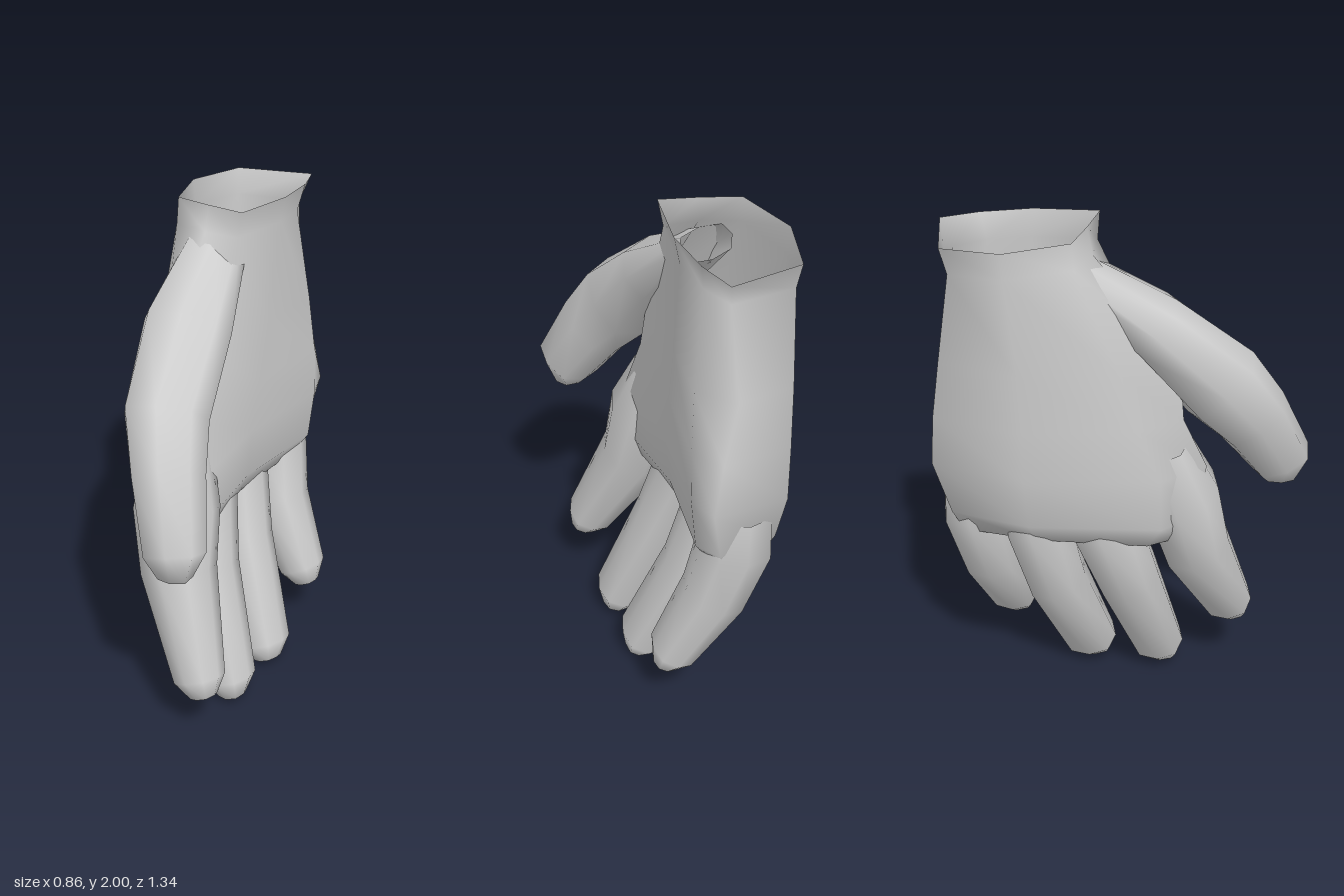
import * as THREE from 'three';

const skin = new THREE.MeshStandardMaterial({ color: 0xcccccc, side: THREE.DoubleSide });
skin.name = 'plainGrey';

// Skin a list of rings (arrays of Vector3) and close the last one with a fan
function loft(name, rings) {
  const n = rings[0].length;
  const pos = [], idx = [];
  rings.forEach(r => r.forEach(p => pos.push(p.x, p.y, p.z)));
  for (let i = 0; i < rings.length - 1; i++) {
    for (let j = 0; j < n; j++) {
      const a = i * n + j, b = i * n + (j + 1) % n;
      idx.push(a, b, a + n, b, b + n, a + n);
    }
  }
  const last = rings[rings.length - 1];
  const mid = last.reduce((s, p) => s.add(p), new THREE.Vector3()).divideScalar(n);
  const base = (rings.length - 1) * n, c = rings.length * n;
  pos.push(mid.x, mid.y, mid.z);
  for (let j = 0; j < n; j++) idx.push(base + j, base + (j + 1) % n, c);
  const geo = new THREE.BufferGeometry();
  geo.setAttribute('position', new THREE.Float32BufferAttribute(pos, 3));
  geo.setIndex(idx);
  geo.computeVertexNormals();
  const mesh = new THREE.Mesh(geo, skin);
  mesh.name = name;
  return mesh;
}

// Digit along a path of [x, y, z, halfWidth, halfThickness]
function digit(name, path, across) {
  const at = i => new THREE.Vector3(...path[i].slice(0, 3));
  const round = v => Math.sign(v) * Math.pow(Math.abs(v), 0.75);
  const sides = 8;
  const rings = path.map(([, , , w, t], i) => {
    const dir = at(Math.min(i + 1, path.length - 1)).sub(at(Math.max(i - 1, 0))).normalize();
    const side = new THREE.Vector3(...across);
    side.addScaledVector(dir, -side.dot(dir)).normalize();
    const up = new THREE.Vector3().crossVectors(dir, side);
    return Array.from({ length: sides }, (_, j) => {
      const a = j / sides * Math.PI * 2;
      return at(i).addScaledVector(side, round(Math.cos(a)) * w)
        .addScaledVector(up, round(Math.sin(a)) * t);
    });
  });
  return loft(name, rings);
}

export function createModel() {
  const hand = new THREE.Group();
  hand.name = 'hand';

  // Palm sections: height, slope, then x,z pairs from the palm's
  // little-finger edge round the thumb side to the back of the hand
  const sections = [
    [2.0, 0.065, [-0.1, -0.5, -0.03, -0.32, 0, -0.07, -0.15, -0.05, -0.3, -0.04, -0.435, -0.24, -0.435, -0.48, -0.18, -0.62]],
    [1.9, 0.065, [-0.11, -0.47, -0.05, -0.32, -0.02, -0.07, -0.15, -0.03, -0.3, -0.03, -0.425, -0.24, -0.42, -0.46, -0.19, -0.565]],
    [1.5, 0, [-0.08, -0.52, -0.04, -0.25, 0.02, 0.12, -0.06, 0.27, -0.25, 0.12, -0.42, -0.2, -0.42, -0.52, -0.22, -0.61]],
    [1.27, 0, [-0.07, -0.55, -0.03, -0.2, 0.04, 0.19, -0.06, 0.29, -0.22, 0.18, -0.41, -0.2, -0.415, -0.56, -0.17, -0.645]],
    [1.07, 0, [-0.07, -0.56, -0.02, -0.15, 0.1, 0.22, -0.01, 0.365, -0.2, 0.26, -0.405, -0.2, -0.41, -0.58, -0.14, -0.67]],
    [0.86, 0, [-0.09, -0.55, -0.04, -0.15, 0.1, 0.22, -0.01, 0.36, -0.19, 0.26, -0.37, -0.2, -0.385, -0.52, -0.17, -0.625]],
    [0.77, 0, [-0.14, -0.51, -0.08, -0.15, 0.05, 0.18, -0.06, 0.3, -0.18, 0.2, -0.31, -0.2, -0.35, -0.49, -0.2, -0.58]],
  ];
  hand.add(loft('palm', sections.map(([y, slope, xz]) =>
    Array.from({ length: 8 }, (_, j) => {
      const x = xz[2 * j], z = xz[2 * j + 1];
      return new THREE.Vector3(x, y + slope * (x + z + 0.07), z);
    }))));

  // Four fingers, rooted just inside the palm and curling towards +x
  const across = [0.27, 0, 0.96];
  const fingers = {
    indexFinger: [
      [-0.05, 1.14, 0.2, 0.11, 0.12], [0, 0.92, 0.265, 0.145, 0.16], [0.055, 0.68, 0.31, 0.13, 0.14],
      [0.25, 0.31, 0.39, 0.092, 0.092], [0.28, 0.245, 0.395, 0.05, 0.05]],
    middleFinger: [
      [-0.15, 0.96, -0.02, 0.1, 0.1], [-0.135, 0.8, 0.01, 0.135, 0.13], [-0.05, 0.53, 0.07, 0.12, 0.125],
      [0.145, 0.1, 0.125, 0.1, 0.095], [0.165, 0.03, 0.125, 0.06, 0.05]],
    ringFinger: [
      [-0.23, 0.96, -0.26, 0.1, 0.1], [-0.215, 0.8, -0.245, 0.125, 0.13], [-0.13, 0.5, -0.205, 0.115, 0.125],
      [0.07, 0.09, -0.15, 0.105, 0.092], [0.1, 0.025, -0.14, 0.06, 0.045]],
    littleFinger: [
      [-0.25, 0.98, -0.5, 0.11, 0.12], [-0.24, 0.82, -0.495, 0.13, 0.135], [-0.17, 0.56, -0.465, 0.12, 0.12],
      [-0.015, 0.28, -0.46, 0.095, 0.085], [0.015, 0.215, -0.46, 0.05, 0.045]],
  };
  for (const [name, path] of Object.entries(fingers)) hand.add(digit(name, path, across));

  // Thumb, widening out of the wrist with a deep base along the palm's edge
  hand.add(digit('thumb', [
    [-0.165, 1.85, -0.12, 0.11, 0.06], [-0.04, 1.62, 0.16, 0.165, 0.12], [0.08, 1.38, 0.375, 0.155, 0.165],
    [0.185, 1.22, 0.465, 0.135, 0.145], [0.305, 1.0, 0.55, 0.115, 0.12], [0.305, 0.91, 0.55, 0.065, 0.065],
  ], [0.85, 0, -0.5]));

  return hand;
}
